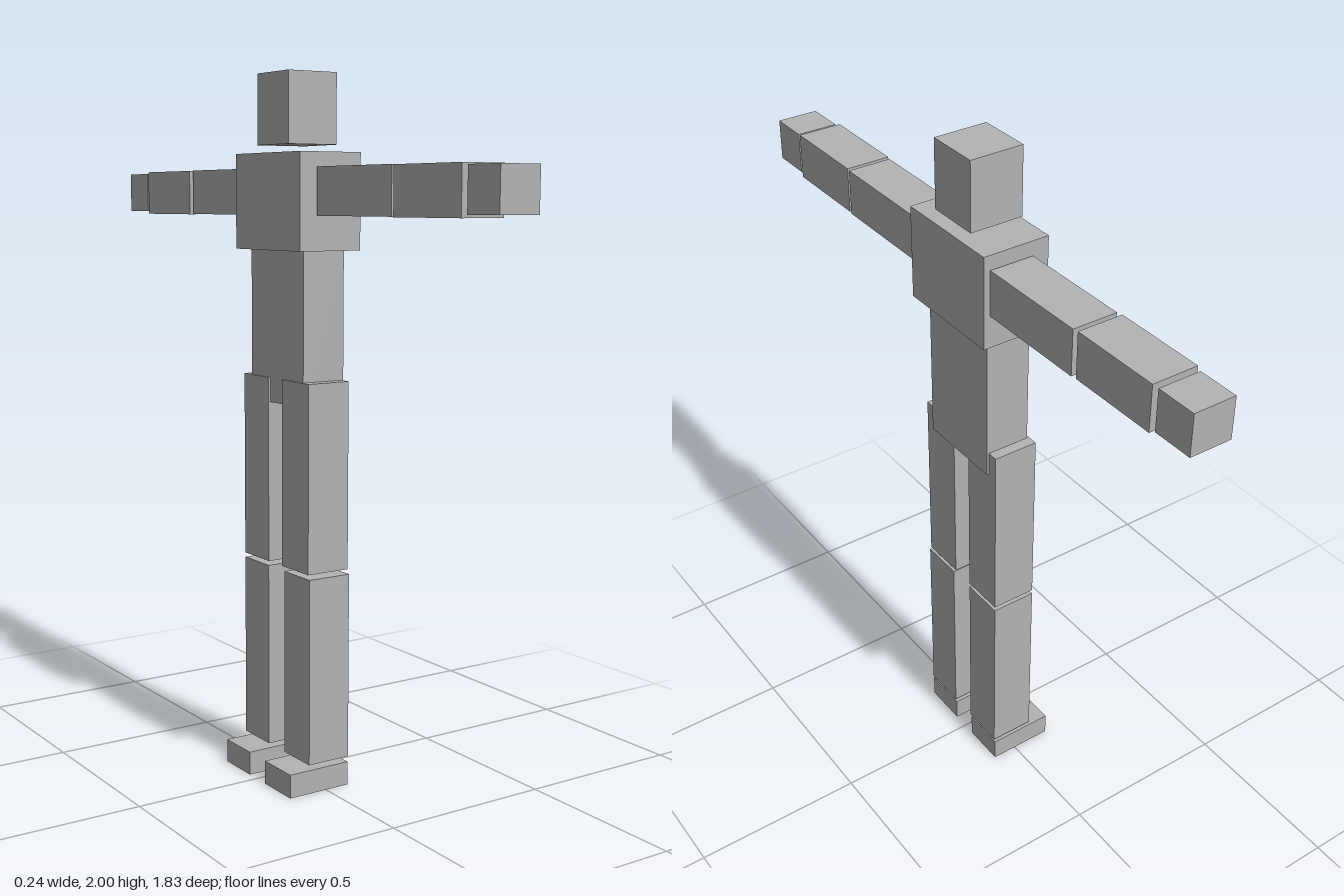
import * as THREE from 'three';

// Blocky figure with outstretched arms; its toes point to -x, so its left is +z.
export function createModel() {
  const group = new THREE.Group();
  const grey = new THREE.MeshStandardMaterial({ color: 0xb3b3b3 });
  grey.name = 'grey';

  // Box given by its extent along each axis
  const block = (name, [x0, x1], [y0, y1], [z0, z1]) => {
    const mesh = new THREE.Mesh(new THREE.BoxGeometry(x1 - x0, y1 - y0, z1 - z0), grey);
    mesh.name = name;
    mesh.position.set((x0 + x1) / 2, (y0 + y1) / 2, (z0 + z1) / 2);
    group.add(mesh);
  };

  // Trunk
  block('head', [-0.06, 0.097], [1.805, 2], [-0.08, 0.078]);
  block('chest', [-0.08, 0.117], [1.518, 1.783], [-0.165, 0.165]);
  block('abdomen', [-0.048, 0.085], [1.09, 1.518], [-0.134, 0.133]);

  // Limbs: x extent, y extent, z extent on the left, z extent on the right
  const limbs = [
    ['UpperArm', [-0.03, 0.1], [1.613, 1.743], [0.172, 0.504], [-0.5, -0.168]],
    ['Forearm', [-0.035, 0.096], [1.612, 1.742], [0.518, 0.784], [-0.78, -0.513]],
    ['Hand', [-0.03, 0.091], [1.62, 1.737], [0.799, 0.915], [-0.912, -0.794]],
    ['Thigh', [-0.054, 0.079], [0.629, 1.16], [0.035, 0.168], [-0.166, -0.036]],
    ['Shin', [-0.054, 0.079], [0.082, 0.616], [0.046, 0.175], [-0.166, -0.037]],
    ['Foot', [-0.12, 0.075], [0, 0.068], [0.046, 0.179], [-0.166, -0.037]],
  ];
  for (const [name, x, y, left, right] of limbs) {
    block('left' + name, x, y, left);
    block('right' + name, x, y, right);
  }
  return group;
}
